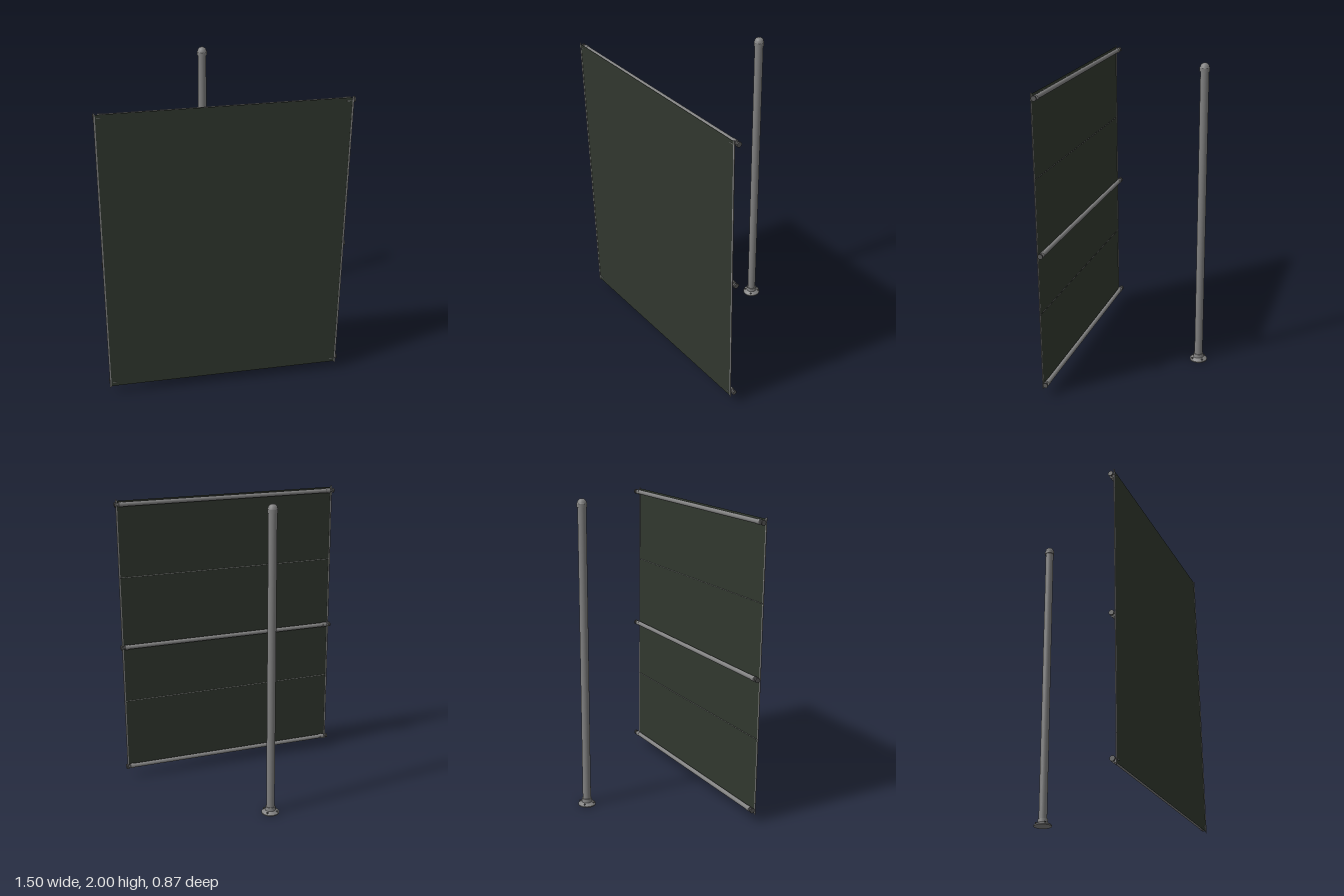
import * as THREE from 'three';

export function createModel() {
  const model = new THREE.Group();
  const steel = new THREE.MeshStandardMaterial({ color: 0x808080 });
  steel.name = 'galvanised steel';
  const darkSteel = new THREE.MeshStandardMaterial({ color: 0x5c5c5c });
  darkSteel.name = 'dark steel fittings';
  const green = new THREE.MeshStandardMaterial({ color: 0x30372e, side: THREE.DoubleSide });
  green.name = 'dark green screen';

  const add = (name, geometry, material, x, y, z, parent = model) => {
    const mesh = new THREE.Mesh(geometry, material);
    mesh.name = name;
    mesh.position.set(x, y, z);
    parent.add(mesh);
    return mesh;
  };
  const cylinderX = (r, length, sides = 20) =>
    new THREE.CylinderGeometry(r, r, length, sides).rotateZ(Math.PI / 2);
  const lathe = (points, sides = 28) =>
    new THREE.LatheGeometry(points.map(p => new THREE.Vector2(...p)), sides);

  // Free-standing post with a flared foot and a domed cap
  const post = new THREE.Group();
  post.name = 'post';
  post.position.set(-0.004, 0, -0.375);
  model.add(post);
  add('postTube', new THREE.CylinderGeometry(0.0265, 0.0265, 1.93, 28), steel, 0, 0.985, 0, post);
  add('footFlange', lathe([[0, 0], [0.057, 0], [0.057, 0], [0.057, 0.007], [0.057, 0.007],
    [0.043, 0.017], [0.034, 0.022], [0.034, 0.022], [0.031, 0.046], [0.031, 0.046], [0.026, 0.046]]),
    steel, 0, 0, 0, post);
  for (let i = 0; i < 4; i++) {
    const a = Math.PI / 4 + i * Math.PI / 2;
    add('footBolt', new THREE.CylinderGeometry(0.006, 0.006, 0.012, 6), darkSteel,
      Math.cos(a) * 0.045, 0.016, Math.sin(a) * 0.045, post);
  }
  add('postCap', lathe([[0.026, 1.948], [0.031, 1.948], [0.031, 1.948], [0.031, 1.972],
    [0.031, 1.972], [0.028, 1.976], [0.027, 1.983], [0.021, 1.992], [0.012, 1.998], [0, 2]]),
    steel, 0, 0, 0, post);

  // Flat screen in front of the rails
  const screenZ = 0.435, midX = -0.005;
  add('screen', new THREE.PlaneGeometry(1.48, 1.86), green, midX, 0.99, screenZ);

  // Flat bars along both upright edges
  for (const s of [-1, 1]) {
    add('edgeBar', new THREE.BoxGeometry(0.01, 1.875, 0.004), steel, midX + s * 0.74, 0.99, screenZ);
  }

  // Three horizontal rails with end cups, bolts and clamps
  for (const y of [1.9, 0.95, 0.085]) {
    const rail = new THREE.Group();
    rail.name = 'rail';
    rail.position.set(0, y, 0.413);
    model.add(rail);
    add('railTube', cylinderX(0.0145, 1.44), steel, 0, 0, 0, rail);
    for (const s of [-1, 1]) {
      add('endCup', cylinderX(0.0165, 0.028), steel, s * 0.711, 0, 0, rail);
      add('endLug', new THREE.BoxGeometry(0.03, 0.018, 0.007), steel, s * 0.735, 0, 0, rail);
      add('clampPlate', cylinderX(0.016, 0.008), darkSteel, s * 0.748, 0, 0, rail);
      add('clampBolt', new THREE.CylinderGeometry(0.005, 0.005, 0.028, 6).rotateX(Math.PI / 2),
        darkSteel, s * 0.742, 0, 0.002, rail);
    }
  }

  // Small wire ties showing at the screen corners
  for (const y of [1.9, 0.085]) {
    for (const s of [-1, 1]) {
      add('cornerTie', new THREE.BoxGeometry(0.024, 0.004, 0.004), steel, midX + s * 0.715, y, screenZ);
    }
  }

  // Thin wires across the back, between the rails
  for (const y of [1.42, 0.56]) {
    add('tensionWire', cylinderX(0.0018, 1.48, 8), steel, midX, y, screenZ - 0.003);
  }
  return model;
}
